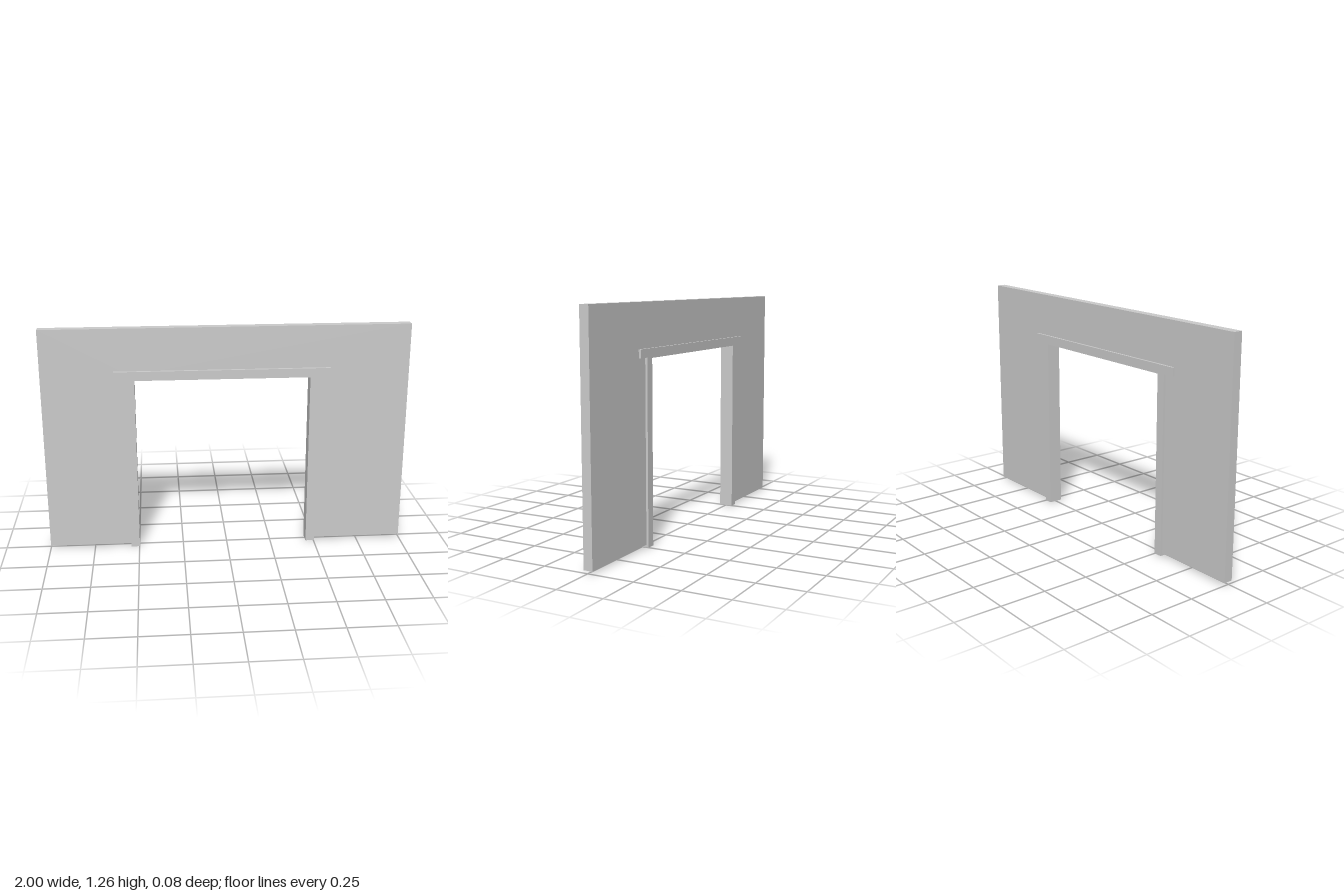
import * as THREE from 'three';

const material = new THREE.MeshStandardMaterial({ color: 0xcccccc, flatShading: true });

// Extrudes an outline of [x, y] corners between two depths.
function slab(name, points, zBack, zFront) {
  const shape = new THREE.Shape(points.map(([x, y]) => new THREE.Vector2(x, y)));
  const geometry = new THREE.ExtrudeGeometry(shape, { depth: zFront - zBack, bevelEnabled: false });
  geometry.translate(0, 0, zBack);
  const mesh = new THREE.Mesh(geometry, material);
  mesh.name = name;
  return mesh;
}

export function createModel() {
  const group = new THREE.Group();
  group.name = 'wallWithDoorway';

  // Wall panel with a doorway cut up from its lower edge
  group.add(slab('wall', [
    [-1, 0.014], [-0.52, 0.014], [-0.52, 1], [0.48, 1], [0.48, 0.014],
    [1, 0.014], [1, 1.26], [-1, 1.26],
  ], -0.027, 0.023));

  // Door frame: two jambs and an overhanging header, proud of both wall faces
  group.add(slab('doorFrame', [
    [-0.545, 0], [-0.498, 0], [-0.498, 0.977], [0.454, 0.977], [0.454, 0],
    [0.503, 0], [0.503, 0.982], [0.565, 0.982], [0.565, 1.027],
    [-0.61, 1.027], [-0.61, 0.982], [-0.545, 0.982],
  ], -0.039, 0.039));

  return group;
}
